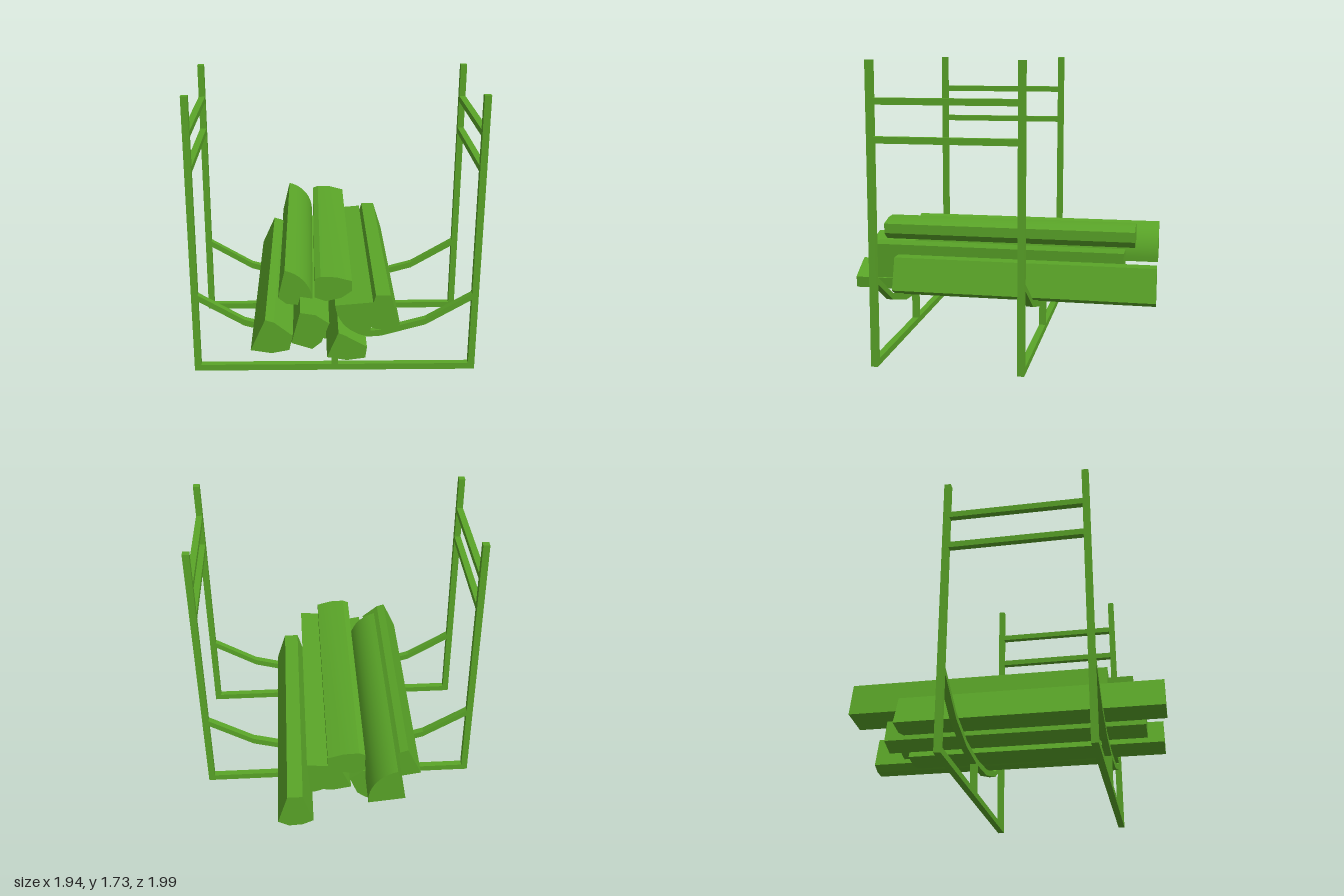
import * as THREE from 'three';
import { toCreasedNormals } from 'three/addons/utils/BufferGeometryUtils.js';

const BAR = 0.04;         // thickness of the square steel bars
const HALF_W = 0.844;     // post spacing across the rack
const HALF_D = 0.4215;    // post spacing along the logs
const POST_H = 1.73;
const LOG_LENGTH = 1.6;

const green = new THREE.MeshStandardMaterial({ color: 0x5aa528 });

function add(parent, name, geometry, x, y, z) {
  const mesh = new THREE.Mesh(geometry, green);
  mesh.name = name;
  mesh.position.set(x, y, z);
  parent.add(mesh);
  return mesh;
}

function box(parent, name, w, h, d, x, y, z) {
  return add(parent, name, new THREE.BoxGeometry(w, h, d), x, y, z);
}

function prism(points, depth) {
  const shape = new THREE.Shape(points.map(([x, y]) => new THREE.Vector2(x, y)));
  return new THREE.ExtrudeGeometry(shape, { depth, bevelEnabled: false });
}

// Quarter-split log section: the apex plus a round bark side
function quarter(cx, cy, r, from, to) {
  const points = [[cx, cy]];
  for (let i = 0; i <= 10; i++) {
    const a = THREE.MathUtils.degToRad(from + (to - from) * i / 10);
    points.push([cx + r * Math.cos(a), cy + r * Math.sin(a)]);
  }
  return points;
}

function createRack() {
  const rack = new THREE.Group();
  rack.name = 'rack';

  // Upper half of the sagging cradle, mirrored to both sides
  const sag = [[0, 0.235], [0.28, 0.255], [0.55, 0.33], [0.83, 0.497]];
  const line = [...sag.slice(1).reverse().map(([x, y]) => [-x, y]), ...sag];
  const band = [
    ...line.map(([x, y]) => [x, y - 0.02]),
    ...line.slice().reverse().map(([x, y]) => [x, y + 0.02]),
  ];

  for (const s of [-1, 1]) {
    const end = s > 0 ? 'front' : 'back';
    const z = s * HALF_D;
    box(rack, end + 'BaseBar', 2 * HALF_W - BAR, BAR, BAR, 0, BAR / 2, z);
    box(rack, end + 'CentreSupport', BAR, 0.19, BAR, 0, 0.13, z);
    add(rack, end + 'CradleBar', prism(band, BAR), 0, 0, z - BAR / 2);
    for (const side of [-1, 1]) {
      box(rack, end + 'Post', BAR, POST_H, BAR, side * HALF_W, POST_H / 2, z);
    }
  }

  // Two rails join each pair of posts
  for (const side of [-1, 1]) {
    for (const y of [1.295, 1.507]) {
      box(rack, 'sideRail', BAR, 0.037, 2 * HALF_D - BAR, side * HALF_W, y, 0);
    }
  }
  return rack;
}

function createLogs() {
  const logs = new THREE.Group();
  logs.name = 'splitLogs';

  // Section of each log and the position of its near end
  const sections = [
    ['outerLeftLog', 0.795,
      [[-0.49, 0.34], [-0.405, 0.53], [-0.355, 0.515], [-0.25, 0.43], [-0.27, 0.34], [-0.37, 0.32]]],
    ['topRoundLog', 0.46, quarter(-0.35, 0.47, 0.217, -6, 77)],
    ['topLog', 0.6,
      [[-0.125, 0.69], [-0.09, 0.705], [0.0, 0.702], [0.092, 0.677], [0.092, 0.615], [0.03, 0.57], [-0.06, 0.55], [-0.125, 0.575]]],
    ['middleRoundLog', 0.66, quarter(0.213, 0.57, 0.22, 185, 266)],
    ['outerRightLog', 0.46,
      [[0.186, 0.32], [0.244, 0.515], [0.333, 0.515], [0.394, 0.32], [0.33, 0.285], [0.25, 0.29]]],
    ['bottomLog', 0.766,
      [[-0.055, 0.275], [0.01, 0.43], [0.045, 0.415], [0.174, 0.34], [0.165, 0.27], [0.06, 0.255]]],
    ['innerLeftLog', 0.67,
      [[-0.26, 0.315], [-0.21, 0.51], [-0.12, 0.495], [-0.04, 0.44], [-0.085, 0.32], [-0.14, 0.275]]],
  ];
  for (const [name, nearEnd, points] of sections) {
    const geometry = toCreasedNormals(prism(points, LOG_LENGTH), 0.35);
    add(logs, name, geometry, 0, 0, nearEnd - LOG_LENGTH);
  }
  return logs;
}

export function createModel() {
  const model = new THREE.Group();
  model.name = 'firewoodRack';

  // The whole rack stands turned on the ground
  const turned = new THREE.Group();
  turned.name = 'loadedRack';
  turned.rotation.y = -0.609;
  turned.position.set(-0.01, 0, 0.138);
  turned.add(createRack(), createLogs());
  model.add(turned);
  return model;
}
